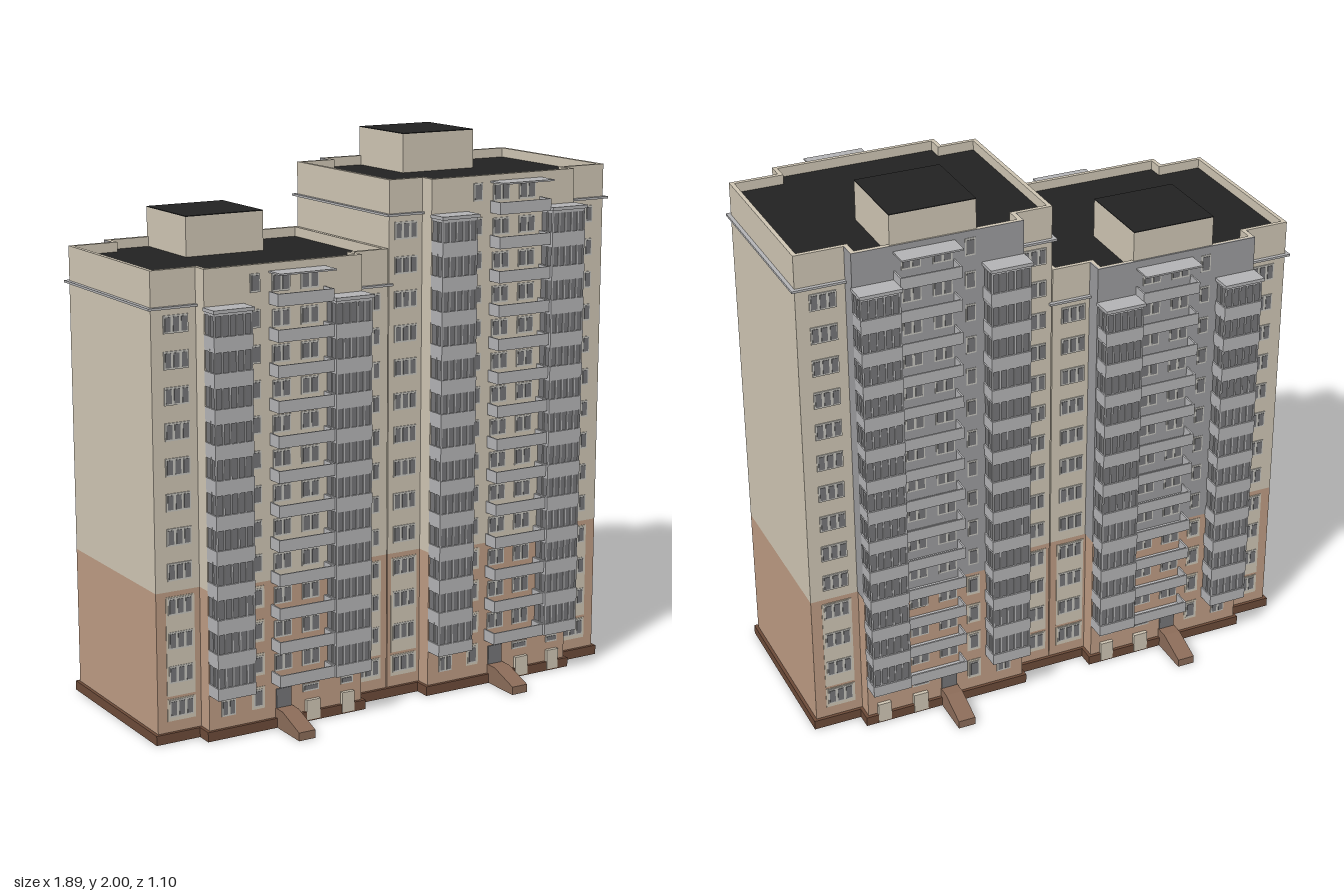
import * as THREE from 'three';
import { mergeGeometries } from 'three/addons/utils/BufferGeometryUtils.js';

const COLORS = {
  beige: 0xcdc4b2, brown: 0xbb9a82, plinth: 0x6b4a38, step: 0x8a6b58,
  grey: 0xb2b2b4, frame: 0xc4c2bc, glass: 0x747476, roof: 0x222222, wall: 0x9a9a9c,
};
const MATS = {};
for (const k in COLORS) MATS[k] = new THREE.MeshStandardMaterial({ color: COLORS[k], flatShading: true });

const BASE = 0.54;      // top of the brown base
const FLOOR = 0.1223;   // storey height
const ZW = 0.32;        // half depth of the wings
const ZC = 0.38;        // half depth of the middle

// Collects boxes under a part name and merges them into one mesh per part
class Parts {
  constructor() { this.map = new Map(); }
  add(name, mat, geo) {
    if (!this.map.has(name)) this.map.set(name, { mat, geos: [] });
    this.map.get(name).geos.push(geo);
  }
  box(name, mat, x0, x1, y0, y1, z0, z1) {
    const g = new THREE.BoxGeometry(x1 - x0, y1 - y0, Math.abs(z1 - z0));
    g.translate((x0 + x1) / 2, (y0 + y1) / 2, (z0 + z1) / 2);
    this.add(name, mat, g);
  }
  build(group) {
    for (const [name, { mat, geos }] of this.map) {
      const m = new THREE.Mesh(mergeGeometries(geos), MATS[mat]);
      m.name = name;
      group.add(m);
    }
  }
}

// Cross-shaped footprint, grown by d
function outline(t, d) {
  const [x0, xa, xb, x1] = [t.x0 - d, t.xa - d, t.xb + d, t.x1 + d];
  const w = ZW + d, c = ZC + d;
  return [[x0, -w], [xa, -w], [xa, -c], [xb, -c], [xb, -w], [x1, -w],
    [x1, w], [xb, w], [xb, c], [xa, c], [xa, w], [x0, w]].map(p => new THREE.Vector2(...p));
}

// Ring (or slab when inner is null) following the footprint
function ring(t, outer, inner, y0, y1) {
  const s = new THREE.Shape(outline(t, outer));
  if (inner !== null) s.holes.push(new THREE.Path(outline(t, inner)));
  const g = new THREE.ExtrudeGeometry(s, { depth: y1 - y0, bevelEnabled: false });
  g.rotateX(-Math.PI / 2);
  g.translate(0, y0, 0);
  return g;
}

// Framed window with a row of panes on a wall at depth z, s = facing side
function windowUnit(p, x0, x1, yc, h, panes, z, s) {
  p.box('windowFrames', 'frame', x0, x1, yc - h / 2, yc + h / 2, s * z, s * (z + 0.004));
  const w = (x1 - x0) / panes;
  for (let i = 0; i < panes; i++) {
    p.box('windowPanes', 'glass', x0 + i * w + 0.005, x0 + (i + 1) * w - 0.005,
      yc - h / 2 + 0.006, yc + h / 2 - 0.006, s * z, s * (z + 0.006));
  }
}

// Glazed bay: stacked parapets, glass and mullions
function bay(p, x0, x1, floors, s) {
  const zo = 0.452;
  for (let i = 0; i < floors - 1; i++) {
    const y = 0.165 + i * FLOOR, top = y + FLOOR;
    p.box('bayParapets', 'grey', x0, x1, y, y + 0.043, s * ZC, s * zo);
    p.box('bayGlass', 'glass', x0 + 0.005, x1 - 0.005, y + 0.043, top, s * ZC, s * (zo - 0.006));
    p.box('bayRails', 'grey', x0 + 0.002, x1 - 0.002, top - 0.01, top, s * ZC, s * (zo - 0.002));
    for (let k = 0; k <= 5; k++) {
      const x = x0 + 0.004 + (x1 - x0 - 0.008) * k / 5;
      p.box('bayMullions', 'grey', x - 0.003, x + 0.003, y + 0.04, top, s * (zo - 0.01), s * (zo - 0.002));
    }
    for (const x of [x0 + 0.004, x1 - 0.004]) {
      p.box('bayMullions', 'grey', x - 0.003, x + 0.003, y + 0.04, top, s * 0.412, s * 0.418);
    }
  }
  const yt = 0.165 + (floors - 1) * FLOOR;
  p.box('bayCaps', 'grey', x0 - 0.004, x1 + 0.004, yt, yt + 0.012, s * ZC, s * (zo + 0.006));
}

// Open balcony with solid rails
function balcony(p, x0, x1, y, s) {
  const zo = 0.443, h = 0.043;
  p.box('balconyFloors', 'grey', x0, x1, y, y + 0.007, s * ZC, s * zo);
  p.box('balconyRails', 'grey', x0, x1, y, y + h, s * (zo - 0.006), s * zo);
  p.box('balconyRails', 'grey', x0, x0 + 0.006, y, y + h, s * ZC, s * zo);
  p.box('balconyRails', 'grey', x1 - 0.006, x1, y, y + h, s * ZC, s * zo);
}

// Sloping entrance steps
function entranceRamp(p, x0, x1, s) {
  const pts = [[0.37, 0], [0.545, 0], [0.545, 0.03], [0.43, 0.07], [0.37, 0.07]];
  const g = new THREE.ExtrudeGeometry(new THREE.Shape(pts.map(q => new THREE.Vector2(...q))),
    { depth: x1 - x0, bevelEnabled: false });
  g.rotateY(-Math.PI / 2);              // profile runs along +z
  g.translate(x1, 0, 0);
  if (s < 0) { g.rotateY(Math.PI); g.translate(x0 + x1, 0, 0); }
  p.add('entranceRamps', 'step', g);
}

function facade(p, t, s) {
  const { o, floors: n, H } = t;
  const wy = i => 0.12 + i * FLOOR;

  // Wing windows and their light panels in the base
  for (const [a, b] of t.wingWindows) {
    p.box('basePanels', 'beige', a - 0.008, b + 0.008, 0.165, 0.522, s * ZW, s * (ZW + 0.002));
    p.box('basePanels', 'beige', a - 0.008, b + 0.008, 0.075, 0.155, s * ZW, s * (ZW + 0.002));
    for (let i = 0; i < n; i++) windowUnit(p, a, b, wy(i), 0.062, 3, ZW, s);
  }

  // Middle windows
  for (let i = 0; i <= n; i++) {
    if (wy(i) < BASE) p.box('basePanels', 'beige', o + 0.305, o + 0.357, wy(i) - 0.04, wy(i) + 0.04, s * ZC, s * (ZC + 0.002));
    windowUnit(p, o + 0.312, o + 0.35, wy(i), 0.064, 1, ZC, s);
    if (i === 0) continue;
    for (const x of [0.396, 0.508]) windowUnit(p, o + x, o + x + 0.07, wy(i) - 0.005, 0.062, 2, ZC, s);
    if (i <= n) balcony(p, o + 0.385, o + 0.605, 0.165 + (i - 1) * FLOOR, s);
  }
  bay(p, o + 0.137, o + 0.285, n, s);
  bay(p, o + 0.607, o + 0.752, n, s);
  const yc = 0.165 + n * FLOOR - 0.015;
  p.box('balconyCanopy', 'grey', o + 0.385, o + 0.605, yc, yc + 0.006, s * ZC, s * 0.458);

  // Ground floor doors and small windows
  p.box('entranceDoors', 'glass', o + 0.402, o + 0.462, 0.03, 0.14, s * ZC, s * (ZC + 0.005));
  p.box('serviceDoors', 'beige', o + 0.52, o + 0.575, 0.005, 0.078, s * ZC, s * (ZC + 0.014));
  p.box('serviceDoors', 'beige', o + 0.665, o + 0.715, 0.005, 0.08, s * ZC, s * (ZC + 0.014));
  windowUnit(p, o + 0.51, o + 0.575, 0.123, 0.028, 1, ZC, s);
  windowUnit(p, o + 0.665, o + 0.715, 0.123, 0.028, 1, ZC, s);
  windowUnit(p, o + 0.185, o + 0.24, 0.108, 0.06, 2, ZC, s);
  entranceRamp(p, o + 0.4, o + 0.465, s);

  // Grey cladding on the rear middle
  if (s < 0) {
    p.box('rearCladding', 'wall', t.xa - 0.002, t.xb + 0.002, BASE, H, -ZC - 0.002, -ZC + 0.004);
    p.box('rearCladding', 'wall', t.xa - 0.002, t.xa + 0.004, BASE, H, -ZC, -ZW);
    p.box('rearCladding', 'wall', t.xb - 0.004, t.xb + 0.002, BASE, H, -ZC, -ZW);
  }
}

function tower(t) {
  const group = new THREE.Group();
  group.name = t.name;
  const p = new Parts();
  const { o, H, floors } = t;

  // Shell, plinth and roof
  p.add('plinth', 'plinth', ring(t, 0.012, -0.04, 0, 0.035));
  p.add('baseWalls', 'brown', ring(t, 0, -0.015, 0.02, BASE));
  p.add('upperWalls', 'beige', ring(t, 0, -0.015, BASE, H));
  p.add('roof', 'roof', ring(t, -0.014, null, H - 0.045, H - 0.035));
  p.add('firstFloor', 'beige', ring(t, -0.014, null, BASE - 0.01, BASE));

  // Cornice around the wings
  const yk = 0.165 + (floors - 1) * FLOOR + 0.008, d = 0.014;
  p.box('cornice', 'grey', t.x0 - d, t.xa, yk, yk + 0.008, -ZW - d, ZW + d);
  p.box('cornice', 'grey', t.xb, t.x1 + d, yk, yk + 0.008, -ZW - d, ZW + d);

  // Machine room on the roof
  p.box('machineRoom', 'beige', o + 0.305, o + 0.615, H - 0.04, H + 0.107, -0.376, -0.07);
  p.box('machineRoomRoof', 'roof', o + 0.305, o + 0.615, H + 0.107, H + 0.11, -0.376, -0.07);

  for (const s of [1, -1]) facade(p, t, s);
  p.build(group);
  return group;
}

export function createModel() {
  const model = new THREE.Group();
  model.name = 'apartmentBuilding';
  model.add(
    tower({ name: 'tallTower', o: 0, H: 1.89, floors: 14, x0: 0, xa: 0.137, xb: 0.75, x1: 0.928,
      wingWindows: [[0.022, 0.115], [0.785, 0.88]] }),
    tower({ name: 'lowTower', o: -0.9, H: 1.65, floors: 12, x0: -0.93, xa: -0.762, xb: -0.148, x1: -0.004,
      wingWindows: [[-0.885, -0.792], [-0.13, -0.038]] }),
  );
  model.rotation.y = -0.013;   // the block stands slightly askew
  const root = new THREE.Group();
  root.name = 'building';
  root.add(model);
  return root;
}
